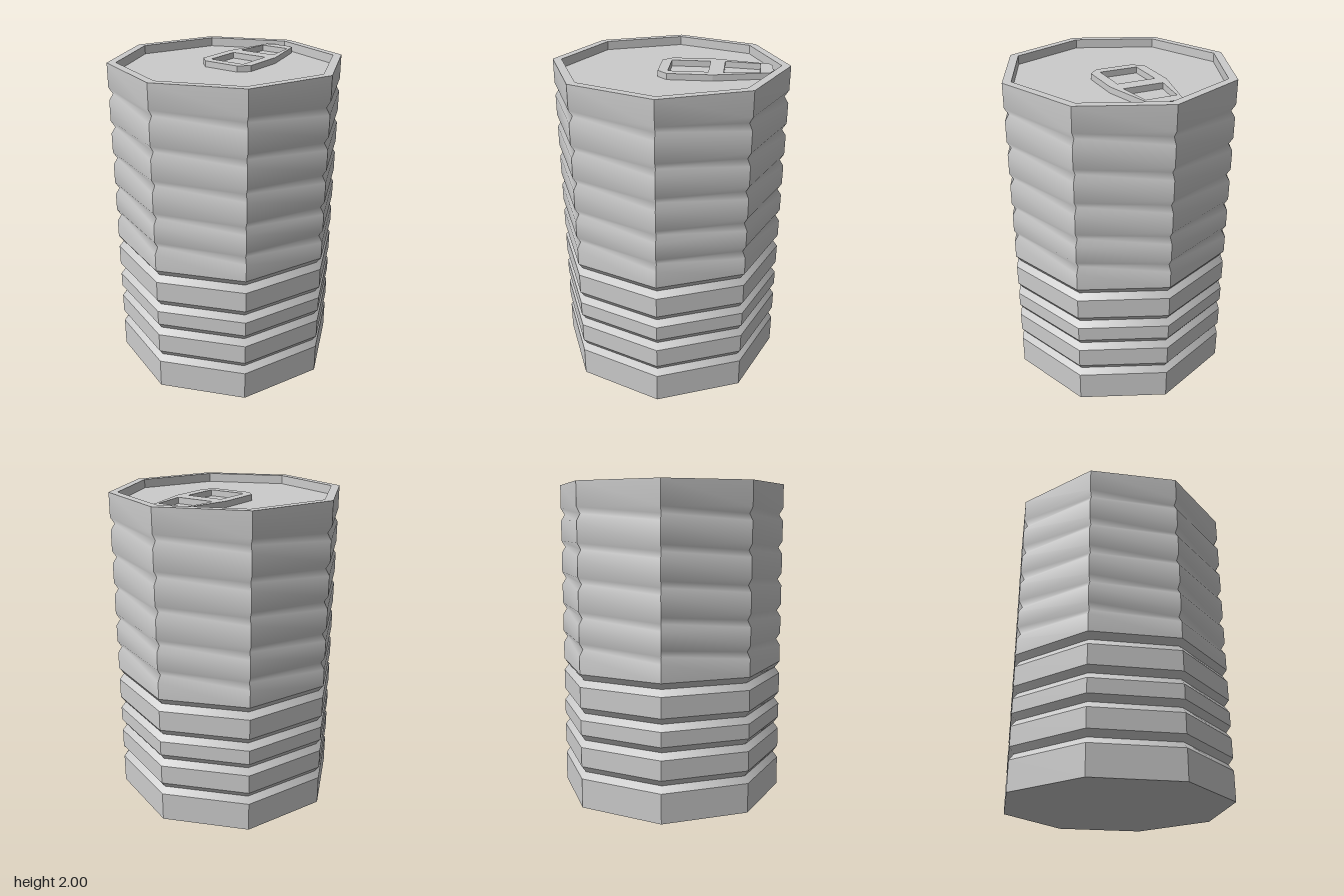
import * as THREE from 'three';
import { mergeGeometries } from 'three/addons/utils/BufferGeometryUtils.js';

const R = 0.725, INNER = 0.67, TOP = 2, LID = 1.945, SIDES = 8;
const grey = new THREE.MeshStandardMaterial({ color: 0xcccccc });
const vec = (p) => p.map(([x, y]) => new THREE.Vector2(x, y));

// Octagonal shell: smooth along the profile, sharp at the vertical corners
function facets(profile) {
  const panels = [];
  for (let i = 0; i < SIDES; i++) {
    const step = (Math.PI * 2) / SIDES;
    const g = new THREE.LatheGeometry(vec(profile), 1, i * step, step);
    g.computeVertexNormals();
    panels.push(g);
  }
  return mergeGeometries(panels);
}

// Every profile segment gets its own hard edges
function hardFacets(profile) {
  return mergeGeometries(profile.slice(1).map((p, i) => facets([profile[i], p])));
}

// Octagonal strip shaded smoothly around the can
const strip = (a, b) => new THREE.LatheGeometry(vec([a, b]), SIDES);

export function createModel() {
  const model = new THREE.Group();
  const add = (name, geometry) => {
    const mesh = new THREE.Mesh(geometry, grey);
    mesh.name = name;
    model.add(mesh);
    return mesh;
  };

  // Flat lower bands separated by sharp V grooves
  const grooves = [0.227, 0.43, 0.602, 0.81], half = 0.04, grooveR = 0.695;
  let y = 0;
  grooves.forEach((c, i) => {
    add(`lowerBand${i + 1}`, facets([[R, y], [R, c - half]]));
    add(`groove${i + 1}`, mergeGeometries([
      strip([R, c - half], [grooveR, c]),
      strip([grooveR, c], [R, c + half]),
    ]));
    y = c + half;
  });

  // Softly rippled upper wall
  const wall = [[R, y]];
  for (const c of [1.0, 1.19, 1.395, 1.6, 1.81]) {
    wall.push([R, c - half], [0.7, c], [R, c + half]);
  }
  wall.push([R, TOP]);
  add('upperWall', facets(wall));

  // Base, rim and recessed lid
  add('base', facets([[0, 0], [R, 0]]));
  add('rimAndLid', hardFacets([[R, TOP], [INNER, TOP], [INNER, LID], [0, LID]]));

  // Pull tab with two openings
  const outline = new THREE.Shape(vec([
    [-0.06, -0.12], [0, -0.18], [0.27, -0.18], [0.6, -0.1], [0.62, -0.06],
    [0.62, 0.06], [0.6, 0.1], [0.27, 0.18], [0, 0.18], [-0.06, 0.12],
  ]));
  outline.holes.push(
    new THREE.Path(vec([[0, -0.12], [0, 0.12], [0.24, 0.12], [0.24, -0.12]])),
    new THREE.Path(vec([[0.33, -0.125], [0.33, 0.125], [0.545, 0.095], [0.545, -0.095]])),
  );
  const tab = new THREE.ExtrudeGeometry(outline, { depth: 0.037, bevelEnabled: false });
  tab.rotateX(-Math.PI / 2);
  add('pullTab', tab).position.y = LID;

  return model;
}
